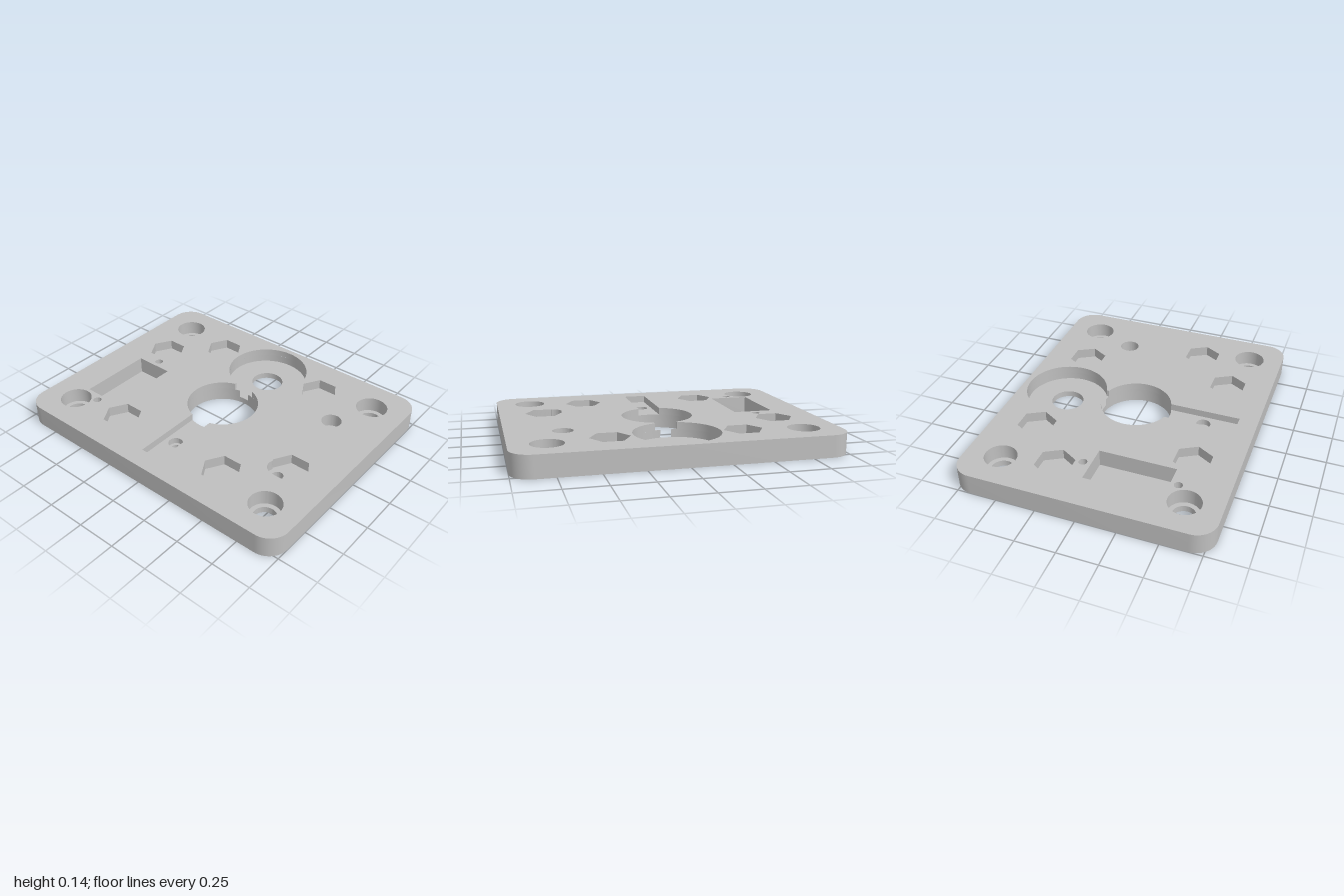
import * as THREE from 'three';
import { mergeGeometries, toCreasedNormals } from 'three/addons/utils/BufferGeometryUtils.js';

const PI = Math.PI, TOP = 0.136;

// All outlines are lists of (x, z) points; increasing angle makes inward-facing walls.
const pt = (x, z) => new THREE.Vector2(x, z);
function arc(x, z, r, a0, a1) {
  const n = Math.max(3, Math.ceil(Math.abs(a1 - a0) / (2 * PI) * 64));
  return Array.from({ length: n + 1 }, (_, i) => {
    const a = a0 + (a1 - a0) * i / n;
    return pt(x + r * Math.cos(a), z + r * Math.sin(a));
  });
}
const circle = (x, z, r) => arc(x, z, r, 0, 2 * PI).slice(0, -1);
const hexagon = (x, z, r) =>
  Array.from({ length: 6 }, (_, i) => pt(x + r * Math.cos(i * PI / 3), z + r * Math.sin(i * PI / 3)));
const rect = (x0, x1, z0, z1) => [pt(x0, z0), pt(x1, z0), pt(x1, z1), pt(x0, z1)];

// Outline of a hexagon joined with a circle that sticks out of it
function hexWithCircle(hx, hz, hr, cx, cz, cr) {
  const points = [], dx = cx - hx, dz = cz - hz;
  for (let i = 0; i < 180; i++) {
    const a = i * PI / 90, c = Math.cos(a), s = Math.sin(a);
    const local = ((a + 1e-9) % (PI / 3)) - PI / 6;
    let r = hr * Math.cos(PI / 6) / Math.cos(local);
    const along = dx * c + dz * s, disc = along * along - (dx * dx + dz * dz - cr * cr);
    if (disc > 0) r = Math.max(r, along + Math.sqrt(disc));
    points.push(pt(hx + r * c, hz + r * s));
  }
  return points;
}

// Flat horizontal face with holes
function face(outline, holes, y, up = true) {
  const shape = new THREE.Shape(outline);
  shape.holes = holes.map(h => new THREE.Path(h));
  let g = new THREE.ShapeGeometry(shape).rotateX(PI / 2).translate(0, y, 0);
  if (up) g.index.array.reverse();
  g = g.toNonIndexed();
  g.deleteAttribute('uv');
  g.computeVertexNormals();
  return g;
}

// Vertical wall along a path
function wall(path, y0, y1, closed = true) {
  const pos = [], n = path.length;
  for (let i = 0; i < (closed ? n : n - 1); i++) {
    const a = path[i], b = path[(i + 1) % n];
    pos.push(a.x, y0, a.y, b.x, y0, b.y, a.x, y1, a.y);
    pos.push(b.x, y0, b.y, b.x, y1, b.y, a.x, y1, a.y);
  }
  const g = new THREE.BufferGeometry();
  g.setAttribute('position', new THREE.Float32BufferAttribute(pos, 3));
  return toCreasedNormals(g, 0.5);
}

export function createModel() {
  const group = new THREE.Group();
  const grey = new THREE.MeshStandardMaterial({ color: 0xbfbfbf });
  grey.name = 'plainGrey';
  const add = (name, ...parts) => {
    const mesh = new THREE.Mesh(mergeGeometries(parts), grey);
    mesh.name = name;
    group.add(mesh);
  };
  const topHoles = [], bottomHoles = [];

  // Recess from the top, optionally with a smaller hole through its floor
  function recess(name, outline, floorY, through) {
    topHoles.push(outline);
    const parts = [wall(outline, floorY, TOP), face(outline, through ? [through] : [], floorY)];
    if (through) {
      bottomHoles.push(through);
      parts.push(wall(through, 0, floorY));
    }
    add(name, ...parts);
  }

  // Corner bolt holes
  for (const x of [-0.776, 0.776]) for (const z of [-0.572, 0.572])
    recess('cornerBoltHole', circle(x, z, 0.1), 0.04, circle(x, z, 0.07));

  // Hexagonal nut pockets
  for (const [x, z] of [[-0.408, -0.513], [0.408, -0.513], [-0.408, 0.51], [0.408, 0.51], [-0.717, -0.246]])
    recess('nutPocket', hexagon(x, z, 0.123), 0.07);
  recess('nutPocketWithHole', hexWithCircle(0.711, 0.246, 0.123, 0.652, 0.285, 0.064), 0.07,
    circle(0.652, 0.285, 0.035));

  // Small stepped hole and rectangular pocket
  recess('smallSteppedHole', circle(0.652, -0.288, 0.064), 0.05, circle(0.652, -0.288, 0.036));
  recess('rectangularPocket', rect(-0.785, -0.527, -0.04, 0.449), 0.025);

  // Small straight holes beside the rectangular pocket
  for (const z of [-0.092, 0.497]) {
    const hole = circle(-0.655, z, 0.026);
    topHoles.push(hole);
    bottomHoles.push(hole);
    add('smallThroughHole', wall(hole, 0, TOP));
  }

  // Blind holes in the underside
  for (const x of [-0.287, 0.287]) {
    const hole = circle(x, -0.646, 0.025);
    bottomHoles.push(hole);
    add('undersideBlindHole', wall(hole, 0, 0.07), face(hole, [], 0.07, false));
  }

  // Central opening, round pocket and the slot that joins them
  const r = 0.23, R = 0.267, d = 0.492, w = 0.072, slotEnd = 0.674;
  const slotY = 0.09, pocketY = 0.04, boreY = 0.05;
  const cross = (d * d + r * r - R * R) / (2 * d), h = Math.sqrt(r * r - cross * cross);
  const slotR = Math.asin(w / R), slotr = Math.asin(w / r);
  const lensR = Math.asin(h / R), lensr = Math.asin(h / r);
  const opening = (a0, a1) => arc(0, 0, r, a0, a1);
  const round = (a0, a1) => arc(0, -d, R, a0, a1);

  const rim = [
    ...round(PI / 2 + slotR, 2.5 * PI - slotR),
    ...opening(-PI / 2 + slotr, PI / 2 - slotr),
    pt(w, slotEnd), pt(-w, slotEnd),
    ...opening(PI / 2 + slotr, 1.5 * PI - slotr),
  ];
  topHoles.push(rim);
  bottomHoles.push(circle(0, 0, r));
  add('joinedUpperWall', wall(rim, slotY, TOP));

  const lensArc = opening(-PI / 2 - lensr, -PI / 2 + lensr);
  add('centralOpening',
    wall(opening(-PI / 2 + lensr, 1.5 * PI - lensr), 0, slotY, false),
    wall(lensArc, 0, pocketY, false));

  const pocketArc = round(PI / 2 + lensR, 2.5 * PI - lensR);
  const pocketHole = circle(0, -d, 0.105);
  bottomHoles.push(pocketHole);
  add('roundPocket',
    wall(pocketArc, pocketY, slotY, false),
    face([...pocketArc, ...lensArc.slice(1, -1).reverse()], [pocketHole], pocketY),
    wall(pocketHole, 0, pocketY));

  const bore = circle(0, 0.458, 0.045), screw = circle(0, 0.458, 0.026);
  bottomHoles.push(screw);
  const slotFloor = [...opening(PI / 2 - slotr, PI / 2 + slotr), pt(-w, slotEnd), pt(w, slotEnd)];
  const wedge = [
    ...opening(-PI / 2 + lensr, -PI / 2 + slotr),
    ...round(PI / 2 - slotR, PI / 2 - lensR).slice(0, -1),
  ];
  add('slot',
    face(slotFloor, [bore], slotY),
    face(wedge, [], slotY),
    face(wedge.map(p => pt(-p.x, p.y)), [], slotY),
    wall(bore, boreY, slotY), face(bore, [screw], boreY), wall(screw, 0, boreY));

  // Plate body with rounded corners
  const X = 1, Z = 0.795, c = 0.13;
  const outline = [
    ...arc(X - c, Z - c, c, 0, PI / 2), ...arc(-X + c, Z - c, c, PI / 2, PI),
    ...arc(-X + c, -Z + c, c, PI, 1.5 * PI), ...arc(X - c, -Z + c, c, 1.5 * PI, 2 * PI),
  ];
  add('plateTop', face(outline, topHoles, TOP));
  add('plateUnderside', face(outline, bottomHoles, 0, false));
  add('plateEdge', wall([...outline].reverse(), 0, TOP));
  return group;
}
